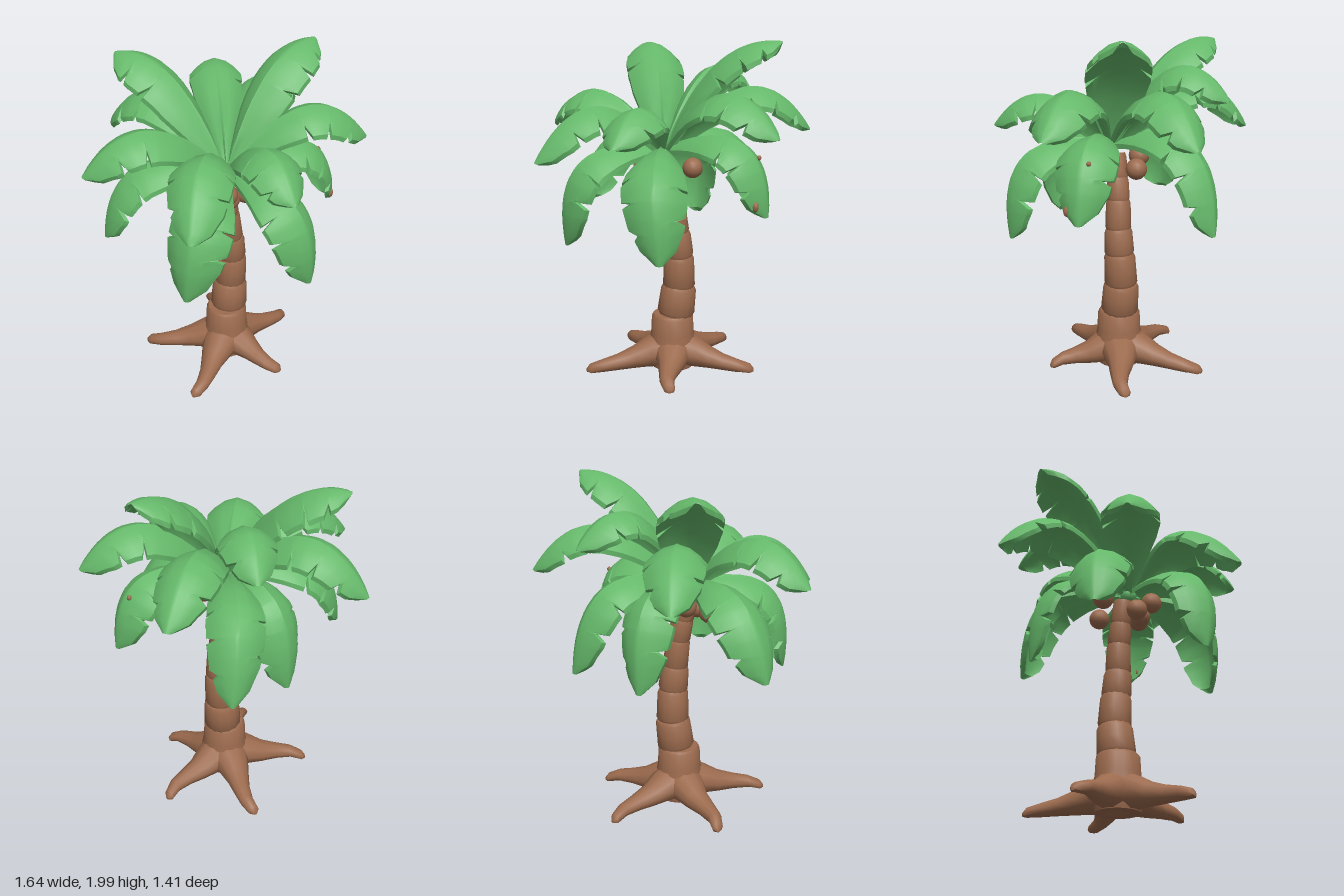
import * as THREE from 'three';
import { toCreasedNormals } from 'three/addons/utils/BufferGeometryUtils.js';

const green = new THREE.MeshStandardMaterial({ color: 0x65b86a });
green.name = 'leaf green';
const brown = new THREE.MeshStandardMaterial({ color: 0x9c6b4e });
brown.name = 'bark brown';

const V = (x, y, z) => new THREE.Vector3(x, y, z);
const UP = V(0, 1, 0);

// Skin a list of equal-length rings (clockwise when seen along the path)
function loft(rings, crease) {
  const n = rings[0].length;
  const index = [];
  for (let i = 0; i < rings.length - 1; i++) {
    for (let j = 0; j < n; j++) {
      const k = (j + 1) % n;
      const a = i * n + j, b = i * n + k, c = b + n, d = a + n;
      index.push(a, b, c, a, c, d);
    }
  }
  const geo = new THREE.BufferGeometry().setFromPoints(rings.flat());
  geo.setIndex(index);
  return toCreasedNormals(geo, crease);
}

function add(group, name, geo, mat, pos) {
  const mesh = new THREE.Mesh(geo, mat);
  mesh.name = name;
  if (pos) mesh.position.copy(pos);
  group.add(mesh);
  return mesh;
}

// Half-width of a frond along its length
const OUTLINE = [[0, 0.16], [0.13, 0.52], [0.3, 0.87], [0.5, 1], [0.7, 0.98], [0.85, 0.84], [0.95, 0.54], [1, 0.12]];
function outline(t) {
  for (let i = 1; i < OUTLINE.length; i++) {
    const [t0, w0] = OUTLINE[i - 1], [t1, w1] = OUTLINE[i];
    if (t <= t1) return w0 + (w1 - w0) * (t - t0) / (t1 - t0);
  }
  return 0.12;
}

// Arched frond with a raised midrib, drooping sides and notched edges
const ACROSS = [-1, -0.75, -0.42, -0.09, 0, 0.09, 0.42, 0.75, 1];
function frond(mid, tip, half, seed) {
  const base = V(tip.x * 0.03, 1.37, 0.03 + tip.z * 0.03);
  const ctrl = mid.clone().multiplyScalar(2).addScaledVector(base, -0.5).addScaledVector(tip, -0.5);
  const curve = new THREE.QuadraticBezierCurve3(base, ctrl, tip);
  const side = V(tip.x - base.x, 0, tip.z - base.z).normalize().cross(UP);
  const shift = ((seed * 37) % 10) * 0.006;
  const notches = [
    { t: 0.42 + shift, s: 1 }, { t: 0.52 + shift, s: -1 }, { t: 0.64 + shift, s: 1 },
    { t: 0.75 + shift, s: -1 }, { t: 0.85 + shift * 0.5, s: 1 },
  ];
  const rows = [0, 0.08, 0.16, 0.25, 0.33, 0.95, 0.98, 1].map((t) => ({ t, s: 0 }));
  for (const { t, s } of notches) {
    rows.push({ t: t - 0.015, s: 0 }, { t, s }, { t: t + 0.035, s: 0 });
  }
  rows.sort((a, b) => a.t - b.t);

  const rings = rows.map(({ t, s }) => {
    const p = curve.getPoint(t);
    const normal = side.clone().cross(curve.getTangent(t)).normalize();
    const w = half * outline(t);
    const thick = t === 1 ? 0.002 : 0.028;
    const point = (u, lower) => {
      const k = u * s > 0.7 ? u * 0.7 : u;
      const rib = u === 0 ? 0.01 * (1 - t) : 0;
      const lift = lower ? -thick : rib;
      return p.clone().addScaledVector(side, k * w)
        .addScaledVector(normal, lift - 0.6 * w * k * k);
    };
    return [...ACROSS.map((u) => point(u, false)), ...[...ACROSS].reverse().map((u) => point(u, true))];
  });
  return loft(rings, 0.6);
}

// Tapering root that creeps down to the ground
function root(x, z, bend) {
  const center = V(0.02, 0, -0.035);
  const dir = V(x - center.x, 0, z - center.z);
  const len = dir.length();
  dir.normalize();
  const side = dir.clone().cross(UP);
  const steps = [
    [0, 0.12, 0.14, 0], [0.28, 0.1, 0.105, 0], [0.46, 0.072, 0.075, 0.2],
    [0.64, 0.055, 0.055, 0.8], [0.82, 0.042, 0.043, 1], [0.96, 0.022, 0.034, 0.2], [1, 0.014, 0.012, 0],
  ];
  const rings = steps.map(([t, y, r, b]) => {
    const ring = [];
    for (let j = 0; j < 10; j++) {
      const a = -j / 10 * Math.PI * 2;
      const p = center.clone().addScaledVector(dir, t * len)
        .addScaledVector(side, Math.cos(a) * r + b * bend);
      p.y = Math.max(0, y + Math.sin(a) * r * 0.9);
      ring.push(p);
    }
    return ring;
  });
  // close the blunt end
  const end = center.clone().addScaledVector(dir, len);
  end.y = 0.014;
  rings.push(rings[0].map(() => end.clone()));
  return loft(rings, 0.9);
}

function lathe(points, sides) {
  const geo = new THREE.LatheGeometry(points.map(([r, y]) => new THREE.Vector2(r, y)), sides);
  return toCreasedNormals(geo, 0.7);
}

export function createModel() {
  const tree = new THREE.Group();
  tree.name = 'palmTree';

  // Flared stump and roots
  const stump = lathe([[0, 0.004], [0.13, 0.004], [0.15, 0.08], [0.145, 0.15], [0.132, 0.22], [0.127, 0.32], [0.115, 0.338], [0, 0.338]], 16);
  add(tree, 'stump', stump, brown, V(0.018, 0, -0.035));
  const roots = [[0.28, 0.31, 0.02], [-0.3, 0.4, -0.02], [0.48, -0.25, 0.025], [-0.48, -0.2, -0.025], [0.03, -0.57, 0.02]];
  for (const r of roots) add(tree, 'root', root(...r), brown);

  // Stacked trunk segments following a gentle lean: x, y, z, radius
  const joints = [
    [0.035, 0.335, -0.045, 0.11], [0.048, 0.51, -0.06, 0.096], [0.054, 0.7, -0.052, 0.086],
    [0.045, 0.85, -0.04, 0.075], [0.025, 1.02, -0.033, 0.067], [0, 1.15, -0.02, 0.062], [-0.02, 1.29, 0, 0.055],
  ];
  for (let i = 0; i < joints.length - 1; i++) {
    const [x, y, z, r] = joints[i];
    const axis = V(...joints[i + 1]).sub(V(x, y, z));
    const h = axis.length() + 0.005;
    const seg = lathe([[0, 0], [r * 0.94, 0], [r * 1.03, 0.018], [r * 1.0, h * 0.5], [r * 0.97, h - 0.02], [r * 0.88, h], [0, h]], 14);
    const mesh = add(tree, 'trunkSegment', seg, brown, V(x, y, z));
    mesh.quaternion.setFromUnitVectors(UP, axis.normalize());
    mesh.rotateY(i * 0.7);
  }

  // Coconuts under the crown
  const nut = new THREE.SphereGeometry(0.062, 14, 10);
  const nuts = [[-0.03, 1.27, 0.17], [-0.11, 1.19, 0.09], [0.1, 1.22, 0.08], [0.0, 1.2, 0.1], [0.07, 1.23, -0.16], [-0.12, 1.27, -0.11]];
  for (const p of nuts) add(tree, 'coconut', nut, brown, V(...p));

  // Crown heart where the fronds meet
  add(tree, 'crownHeart', new THREE.SphereGeometry(0.05, 12, 8), green, V(-0.01, 1.34, 0.03));

  // Fronds: midpoint, tip, half-width
  const fronds = [
    // upright pair
    [[0.27, 1.85, -0.11], [0.6, 1.985, -0.27], 0.175],
    [[-0.25, 1.84, -0.22], [-0.53, 1.94, -0.44], 0.175],
    // arching tier
    [[-0.22, 1.62, 0.38], [-0.36, 1.33, 0.71], 0.175],
    [[0.13, 1.64, 0.38], [0.2, 1.46, 0.68], 0.16],
    [[-0.45, 1.68, 0.09], [-0.82, 1.46, 0.11], 0.17],
    [[0.45, 1.71, 0.06], [0.82, 1.5, 0.08], 0.17],
    [[0.31, 1.71, -0.37], [0.57, 1.46, -0.66], 0.165],
    [[-0.31, 1.69, -0.37], [-0.56, 1.42, -0.65], 0.165],
    [[0.04, 1.81, -0.36], [0.1, 1.65, -0.7], 0.155],
    // drooping tier
    [[-0.27, 1.3, 0.45], [-0.35, 0.82, 0.5], 0.185],
    [[0.28, 1.3, 0.45], [0.37, 0.83, 0.51], 0.18],
    [[-0.51, 1.37, -0.08], [-0.71, 0.95, -0.08], 0.175],
    [[0.51, 1.435, -0.03], [0.68, 1.04, -0.05], 0.17],
    [[-0.13, 1.35, -0.43], [-0.17, 0.86, -0.53], 0.16],
    [[0.13, 1.4, -0.49], [0.22, 0.92, -0.67], 0.16],
  ];
  fronds.forEach(([m, t, w], i) => add(tree, 'frond', frond(V(...m), V(...t), w, i + 1), green));

  // Small dry spots on one drooping frond
  const spot = new THREE.SphereGeometry(0.014, 8, 6);
  add(tree, 'drySpot', spot, brown, V(0.592, 1.36, -0.08));
  add(tree, 'drySpot', spot, brown, V(0.645, 1.11, 0.025)).scale.set(1.4, 2.2, 1.4);

  return tree;
}
